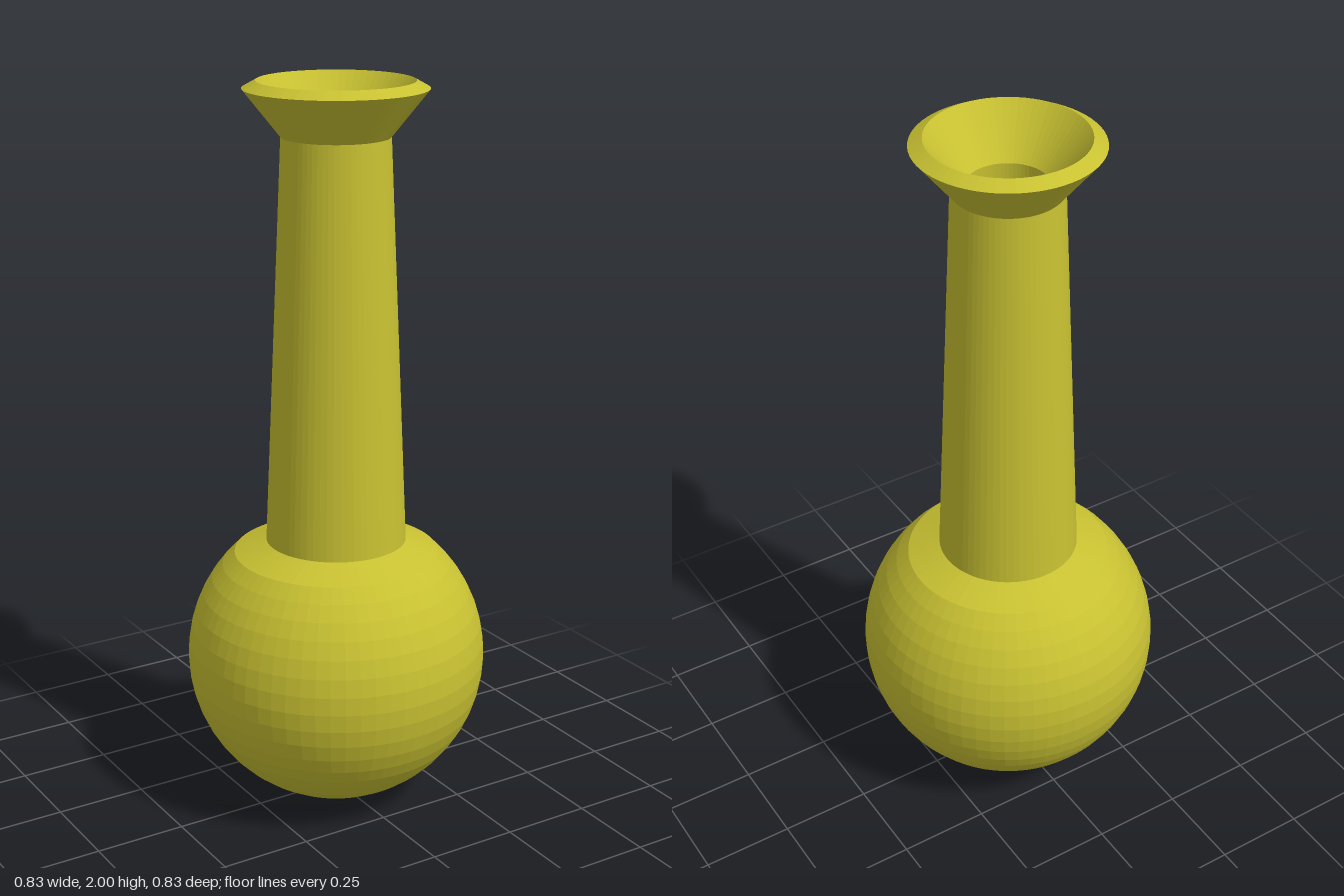
import * as THREE from 'three';

const R = 0.413;      // bulb radius, also its centre height
const WALL = 0.04;    // wall thickness
const STEPS = 20;     // rings on the bulb

// Bulb arc from the bottom pole up to the shoulder
function bulbArc(radius, shoulderRadius) {
  const end = Math.PI - Math.asin(shoulderRadius / radius);
  return Array.from({ length: STEPS + 1 }, (_, i) => {
    const a = (end * i) / STEPS;
    return new THREE.Vector2(i ? radius * Math.sin(a) : 0, R - radius * Math.cos(a));
  });
}

export function createModel() {
  const group = new THREE.Group();
  group.name = 'vase';
  const material = new THREE.MeshStandardMaterial({ color: 0xc8c132, flatShading: true });
  const v = (x, y) => new THREE.Vector2(x, y);

  // Outer wall: bulb, shoulder, tapering neck, flared lip
  const outer = [...bulbArc(R, 0.28), v(0.192, 0.752), v(0.144, 1.856), v(0.243, 1.98)];
  // Inner wall, offset by the wall thickness, from the bowl up to the rim
  const inner = [...bulbArc(R - WALL, 0.245), v(0.152, 0.725), v(0.105, 1.87), v(0.207, 2)];

  // Up the outside, across the rim, and down the inside
  const body = new THREE.Mesh(new THREE.LatheGeometry([...outer, ...inner.reverse()], 64), material);
  body.name = 'vaseBody';
  group.add(body);
  return group;
}
